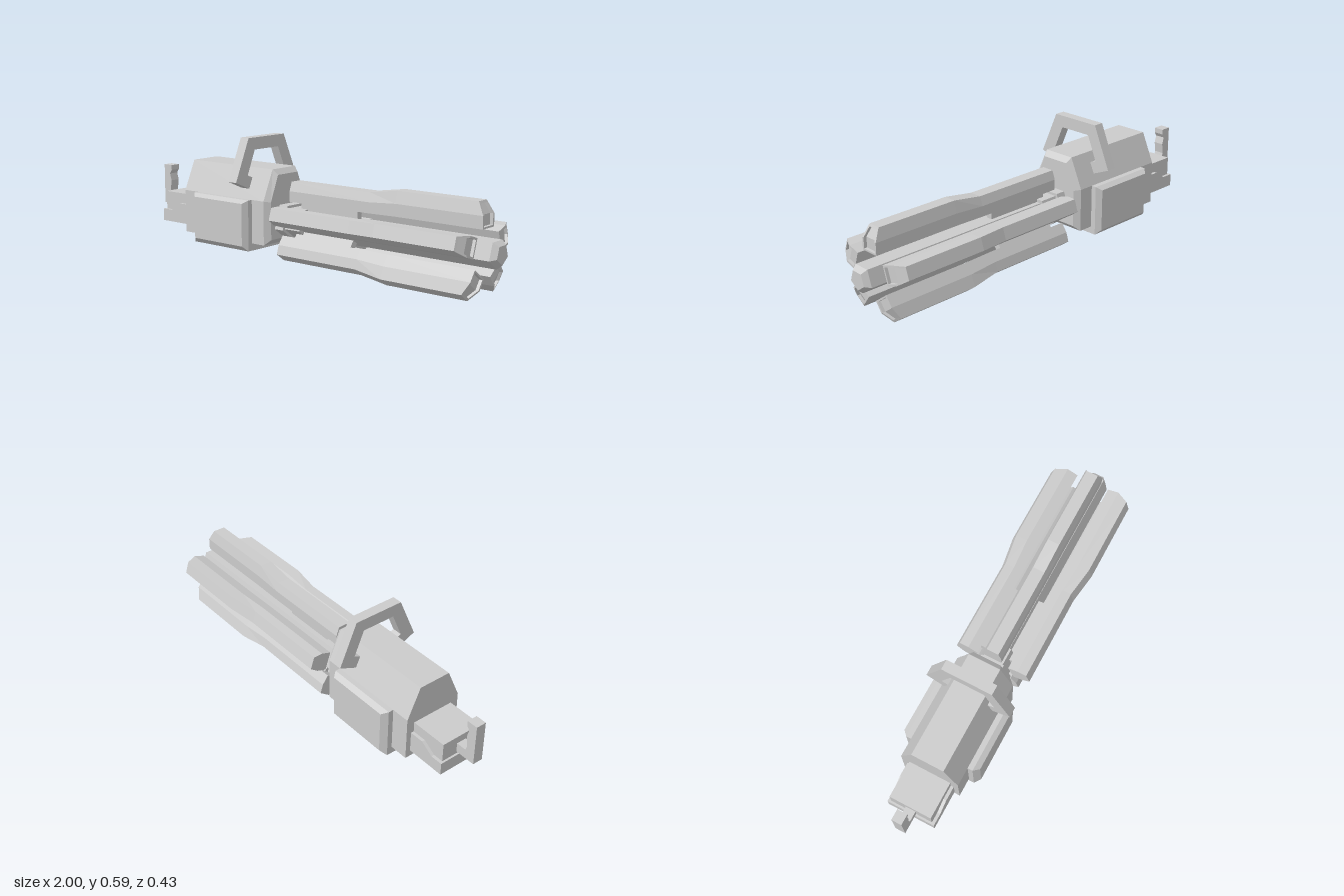
import * as THREE from 'three';

const material = new THREE.MeshStandardMaterial({ color: 0xcccccc, flatShading: true });

function add(parent, name, geometry) {
  const mesh = new THREE.Mesh(geometry, material);
  mesh.name = name;
  parent.add(mesh);
  return mesh;
}

// Skin a row of convex loops (counter-clockwise about the loft direction) and cap both ends
function loft(loops) {
  const out = [];
  const tri = (a, b, c) => out.push(...a, ...b, ...c);
  const n = loops[0].length;
  for (let s = 0; s < loops.length - 1; s++) {
    for (let i = 0; i < n; i++) {
      const j = (i + 1) % n, p = loops[s], q = loops[s + 1];
      tri(p[i], p[j], q[j]);
      tri(p[i], q[j], q[i]);
    }
  }
  const first = loops[0], last = loops[loops.length - 1];
  for (let i = 1; i < n - 1; i++) {
    tri(first[0], first[i + 1], first[i]);
    tri(last[0], last[i], last[i + 1]);
  }
  const g = new THREE.BufferGeometry();
  g.setAttribute('position', new THREE.Float32BufferAttribute(out, 3));
  g.computeVertexNormals();
  return g;
}

function box(x0, x1, y0, y1, z0, z1) {
  return new THREE.BoxGeometry(x1 - x0, y1 - y0, z1 - z0)
    .translate((x0 + x1) / 2, (y0 + y1) / 2, (z0 + z1) / 2);
}

function extrude(points, depth) {
  const shape = new THREE.Shape(points.map(([x, y]) => new THREE.Vector2(x, y)));
  return new THREE.ExtrudeGeometry(shape, { depth, bevelEnabled: false }).translate(0, 0, -depth / 2);
}

// Pentagon across the x axis, point down
function pentagon(x, r) {
  return Array.from({ length: 5 }, (_, i) => {
    const a = Math.PI + i * Math.PI * 0.4;
    return [x, r * Math.cos(a), r * Math.sin(a)];
  });
}

// Symmetric six-sided section from three [y, halfWidth] pairs: low, middle, top
function section(xs, low, mid, top) {
  return [
    [xs[1], mid[0], -mid[1]], [xs[2], top[0], -top[1]], [xs[2], top[0], top[1]],
    [xs[1], mid[0], mid[1]], [xs[0], low[0], low[1]], [xs[0], low[0], -low[1]],
  ];
}

function rect(z, x0, x1, y0, y1) {
  return [[x0, y0, z], [x1, y0, z], [x1, y1, z], [x0, y1, z]];
}

export function createModel() {
  const model = new THREE.Group();
  model.name = 'rotaryGun';

  // Housing with a bevelled front
  add(model, 'housing', loft([
    section([-0.72, -0.72, -0.72], [0.09, 0.145], [0.30, 0.145], [0.445, 0.08]),
    section([-0.195, -0.195, -0.195], [0.09, 0.145], [0.30, 0.145], [0.445, 0.08]),
    section([-0.17, -0.17, -0.17], [0.115, 0.12], [0.295, 0.12], [0.42, 0.07]),
  ]));

  // Wide box through the housing, bevelled on both cheeks
  add(model, 'sideBoxes', loft([
    rect(-0.195, -0.605, -0.29, 0.08, 0.285),
    rect(-0.17, -0.63, -0.27, 0.055, 0.30),
    rect(0.17, -0.63, -0.27, 0.055, 0.30),
    rect(0.195, -0.605, -0.29, 0.08, 0.285),
  ]));

  // Carrying handle straddling the housing
  const half = [[0.083, 0.53], [0.133, 0.412], [0.09, 0.394], [0.11, 0.341], [0.213, 0.385], [0.125, 0.588]];
  const mirrored = half.map(([z, y]) => [-z, y]).reverse();
  add(model, 'handle', extrude([...half, ...mirrored], 0.05)
    .rotateY(Math.PI / 2).translate(-0.33, 0, 0));

  // Stepped rear block
  add(model, 'rearBlockLower', extrude([
    [-0.91, 0.12], [-0.72, 0.12], [-0.72, 0.22], [-0.79, 0.22], [-0.85, 0.18], [-0.91, 0.18],
  ], 0.24));
  add(model, 'rearBlockUpper', box(-0.90, -0.72, 0.17, 0.27, -0.105, 0.105));

  // Rear grip post with a hooked top
  add(model, 'rearGrip', extrude([
    [-1, 0.19], [-0.89, 0.19], [-0.89, 0.235], [-0.95, 0.235], [-0.957, 0.26], [-0.95, 0.31],
    [-0.96, 0.345], [-0.947, 0.365], [-0.947, 0.39], [-1, 0.39],
  ], 0.05));

  // Rotating cluster
  const cluster = new THREE.Group();
  cluster.name = 'barrelCluster';
  cluster.position.y = 0.195;
  model.add(cluster);

  add(cluster, 'hub', loft([pentagon(-0.18, 0.1), pentagon(-0.12, 0.1)]));
  add(cluster, 'hubCollar', loft([pentagon(-0.12, 0.085), pentagon(-0.03, 0.085)]));
  add(cluster, 'shaft', loft([
    pentagon(-0.12, 0.067), pentagon(0.975, 0.067), pentagon(1, 0.046),
  ]));

  // Barrel: slim rear, deeper front, sloped end with a shallow recess
  const low = [0.103, 0.045], mid = [0.16, 0.045];
  const lowIn = [0.111, 0.036], midIn = [0.16, 0.036], topIn = [0.206, 0.024];
  const barrel = loft([
    section([-0.12, -0.12, -0.12], [0.1, 0.045], [0.15, 0.045], [0.193, 0.03]),
    section([0.34, 0.34, 0.34], [0.1, 0.045], [0.15, 0.045], [0.193, 0.03]),
    section([0.49, 0.49, 0.49], low, mid, [0.216, 0.03]),
    section([0.93, 0.93, 0.9], low, mid, [0.216, 0.03]),
    section([0.93, 0.93, 0.905], lowIn, midIn, topIn),
    section([0.915, 0.915, 0.89], lowIn, midIn, topIn),
  ]);
  const spoke = box(-0.07, 0.26, 0.03, 0.108, -0.016, 0.016);
  for (let i = 0; i < 5; i++) {
    const arm = new THREE.Group();
    arm.name = 'barrelArm' + (i + 1);
    arm.rotation.x = i * Math.PI * 0.4;
    add(arm, 'barrel', barrel);
    add(arm, 'spoke', spoke);
    cluster.add(arm);
  }
  return model;
}
